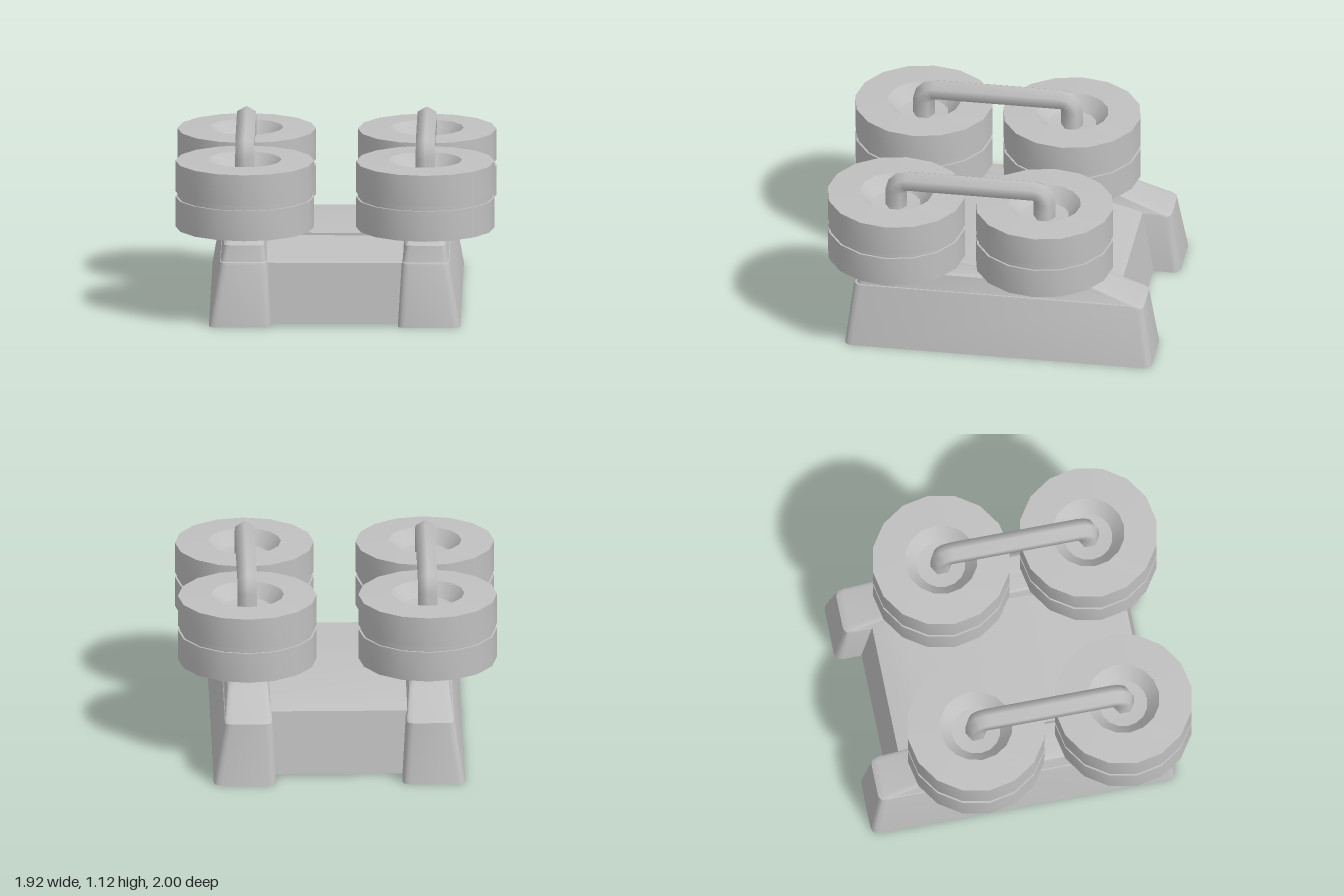
import * as THREE from 'three';
import { mergeVertices, toCreasedNormals } from 'three/addons/utils/BufferGeometryUtils.js';

// Skin a list of rings (arrays of [x, y, z]); optionally close the last ring
function loft(rings, { closed = true, cap = false, crease = 0.6 } = {}) {
  const n = rings[0].length, index = [];
  const points = rings.flat();
  for (let i = 0; i < rings.length - 1; i++) {
    for (let j = 0; j < (closed ? n : n - 1); j++) {
      const k = (j + 1) % n;
      const a = i * n + j, b = i * n + k, c = b + n, d = a + n;
      index.push(a, b, c, a, c, d);
    }
  }
  if (cap) {
    const o = (rings.length - 1) * n;
    for (let j = 1; j < n - 1; j++) index.push(o, o + j, o + j + 1);
  }
  const g = new THREE.BufferGeometry();
  g.setAttribute('position', new THREE.Float32BufferAttribute(points.flat(), 3));
  g.setIndex(index);
  return toCreasedNormals(g, crease);
}

// Horizontal rectangle with rounded corners
function roundedRing(y, x0, x1, z0, z1, r) {
  const ring = [];
  const corners = [[x1 - r, z0 + r], [x0 + r, z0 + r], [x0 + r, z1 - r], [x1 - r, z1 - r]];
  corners.forEach(([cx, cz], q) => {
    for (let s = 0; s <= 3; s++) {
      const a = (q + s / 3) * Math.PI / 2;
      ring.push([cx + r * Math.cos(a), y, cz - r * Math.sin(a)]);
    }
  });
  return ring;
}

// Hollow tapered side rail, stepped, with a sloping back end
function railGeometry(side) {
  const sections = [
    [0, 0.38, 0.755, -1.0, 0.865, 0.045],
    [0.37, 0.402, 0.692, -0.942, 0.822, 0.045],
    [0.385, 0.405, 0.688, -0.915, 0.815, 0.04],
    [0.388, 0.408, 0.684, -0.9, 0.8, 0.035],
    [0.487, 0.425, 0.665, -0.635, 0.778, 0.03],
    [0.5, 0.44, 0.648, -0.6, 0.76, 0.025],
  ];
  return loft(sections.map(([y, a, b, z0, z1, r]) =>
    side > 0 ? roundedRing(y, a, b, z0, z1, r) : roundedRing(y, -b, -a, z0, z1, r)), { cap: true });
}

// Open-bottomed bridge between the rails
function bridgeGeometry() {
  const profile = [
    [0.80, 0.01], [0.755, 0.375], [0.74, 0.385], [0.19, 0.42],
    [0.19, 0.435], [-0.6, 0.435], [-0.77, 0.388], [-0.84, 0.01],
  ];
  const rings = profile.map(([z, y]) => [[-0.41, y, z], [0.41, y, z]]);
  return loft(rings, { closed: false, crease: 0.4 });
}

// Sixteen-sided drum with neck, groove and dished top
function drumGeometry() {
  const profile = [
    [0.07, 0.495], [0.066, 0.51], [0.055, 0.516], [0.066, 0.534],
    [0.417, 0.56], [0.417, 0.745], [0.405, 0.745], [0.405, 0.775], [0.417, 0.775],
    [0.417, 0.965], [0.22, 0.972], [0.147, 0.89], [0, 0.875],
  ].map(([r, y]) => new THREE.Vector2(r, y));
  const g = new THREE.LatheGeometry(profile, 16);
  g.deleteAttribute('normal');
  g.deleteAttribute('uv');
  return toCreasedNormals(mergeVertices(g), 0.5);
}

// Hexagonal bar bent down at both ends
function handleGeometry() {
  const front = 0.58, back = -0.32, top = 1.05, bend = 0.065, R = 0.066;
  const stations = [[front, 0.87, Math.PI / 2]];
  for (let i = 0; i <= 3; i++) {
    const a = i / 3 * Math.PI / 2;
    stations.push([front - bend + bend * Math.cos(a), top - bend + bend * Math.sin(a), a + Math.PI / 2]);
  }
  for (let i = 0; i <= 3; i++) {
    const a = Math.PI / 2 + i / 3 * Math.PI / 2;
    stations.push([back + bend + bend * Math.cos(a), top - bend + bend * Math.sin(a), a + Math.PI / 2]);
  }
  stations[0][2] = Math.PI / 2;
  stations.push([back, 0.87, Math.PI * 1.5]);
  const rings = stations.map(([z, y, t]) => {
    const ring = [];
    for (let j = 0; j < 6; j++) {
      const a = (j + 0.5) * Math.PI / 3 - Math.PI / 3;
      const n = R * Math.sin(a);
      ring.push([R * Math.cos(a), y + n * Math.cos(t), z - n * Math.sin(t)]);
    }
    return ring;
  });
  return loft(rings, { crease: 1.2 });
}

export function createModel() {
  const model = new THREE.Group();
  const grey = new THREE.MeshStandardMaterial({ color: 0xc0c0c0, side: THREE.DoubleSide });
  grey.name = 'grey';

  const add = (name, geometry, x = 0, z = 0) => {
    const mesh = new THREE.Mesh(geometry, grey);
    mesh.name = name;
    mesh.position.set(x, 0, z);
    model.add(mesh);
  };

  add('bridge', bridgeGeometry());
  const drum = drumGeometry(), handle = handleGeometry();
  for (const [side, label] of [[1, 'left'], [-1, 'right']]) {
    add(label + 'Rail', railGeometry(side));
    add(label + 'FrontDrum', drum, side * 0.542, 0.58);
    add(label + 'BackDrum', drum, side * 0.542, -0.32);
    add(label + 'Handle', handle, side * 0.542);
  }
  return model;
}
